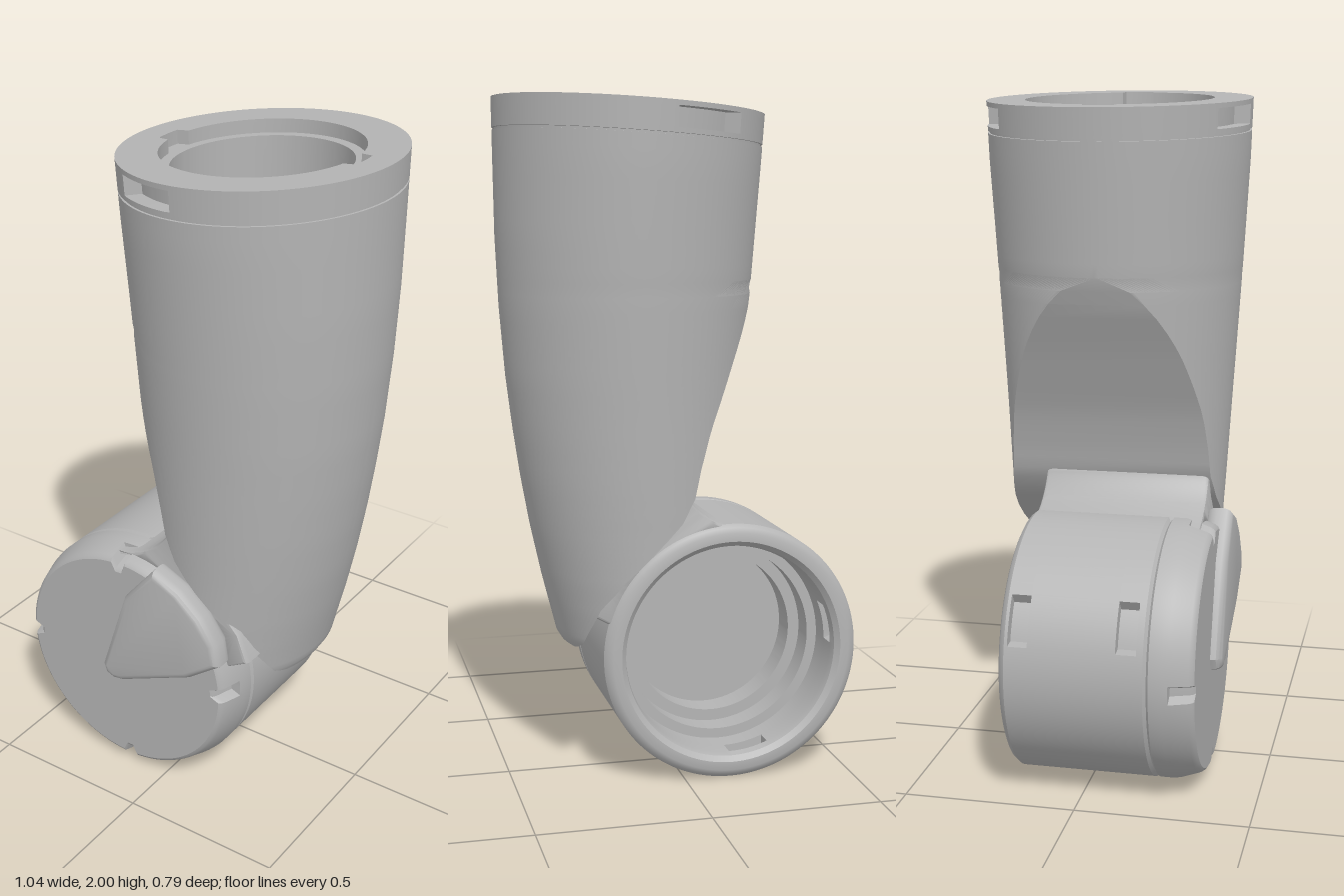
import * as THREE from 'three';
import { toCreasedNormals } from 'three/addons/utils/BufferGeometryUtils.js';

const N = 180;
const grey = new THREE.MeshStandardMaterial({ color: 0xb4b4b4 });
grey.name = 'light grey';

// piecewise-linear lookup in ascending [key, value] pairs
function lookup(table, k) {
  if (k <= table[0][0]) return table[0][1];
  for (let i = 1; i < table.length; i++) {
    const [k0, v0] = table[i - 1], [k1, v1] = table[i];
    if (k <= k1) return v0 + (v1 - v0) * (k - k0) / (k1 - k0);
  }
  return table[table.length - 1][1];
}

// radial offset applied inside angular windows
const dent = (angles, half, depth) => (a) =>
  angles.some((c) => Math.abs(Math.atan2(Math.sin(a - c), Math.cos(a - c))) < half) ? depth : 0;

// skin over rings {y, cx, rx, rz, cut, bump}; each ring is an ellipse trimmed flat at x = cut
function loft(rows, warp, n = N) {
  const pos = [], idx = [];
  rows.forEach(({ y, cx = 0, rx, rz = rx, cut = -9, bump }) => {
    const c = rx > 0 ? Math.min(1, Math.max(-1, (cut - cx) / rx)) : -1;
    const span = Math.acos(c);
    for (let j = 0; j <= n; j++) {
      const a = -span + 2 * span * j / n, b = bump ? bump(a) : 0;
      const x = cx + (rx + b) * Math.cos(a), z = (rz + b) * Math.sin(a);
      pos.push(x, warp ? warp(x, y) : y, z);
    }
  });
  const w = n + 1;
  for (let i = 0; i < rows.length - 1; i++) {
    for (let j = 0; j < w; j++) {
      const k = (j + 1) % w, a = i * w + j, c = i * w + k;
      idx.push(a, a + w, c, c, a + w, c + w);
    }
  }
  const g = new THREE.BufferGeometry();
  g.setAttribute('position', new THREE.Float32BufferAttribute(pos, 3));
  g.setIndex(idx);
  return toCreasedNormals(g, 0.5);
}

// revolved part whose axis runs along z, from [z, radius, bump] rows
function turned(rows) {
  return loft(rows.map(([y, rx, bump]) => ({ y, rx, bump }))).rotateX(Math.PI / 2);
}

function polygon(points) {
  return new THREE.Shape(points.map(([x, y]) => new THREE.Vector2(x, y)));
}

export function createModel() {
  const model = new THREE.Group();
  const add = (name, geometry, x = 0, y = 0, z = 0) => {
    const m = new THREE.Mesh(geometry, grey);
    m.name = name;
    m.position.set(x, y, z);
    model.add(m);
    return m;
  };

  // upper sleeve: side profiles by height
  const right = [[0.41, 0.335], [0.43, 0.347], [0.6, 0.39], [0.75, 0.423], [0.9, 0.45], [1.05, 0.472],
    [1.2, 0.49], [1.4, 0.506], [1.6, 0.515], [2, 0.52]];
  const halfDepth = [[0.41, 0.31], [0.75, 0.325], [1.1, 0.345], [1.5, 0.37], [1.8, 0.388], [2, 0.395]];
  const trim = [[0.41, 0.315], [0.43, 0.303], [0.47, 0.293], [0.55, 0.265], [0.64, 0.2], [0.72, 0.12],
    [0.8, 0.04], [0.87, 0.0], [0.95, -0.018], [1.06, -0.05], [1.25, -0.13], [1.4, -0.2], [1.48, -0.235], [1.56, -0.29]];
  const tilt = (x, y) => y + 0.063 * (x - 0.124) * Math.min(1, Math.max(0, (y - 1.5) / 0.35));
  const outer = (y, inset = 0, bump) => {
    const xr = lookup(right, y) - inset, xl = -0.27 + 0.075 * (1.95 - y) + inset;
    return { y, cx: (xr + xl) / 2, rx: (xr - xl) / 2, rz: lookup(halfDepth, y) - inset, cut: lookup(trim, y), bump };
  };
  const slots = dent([1.91, -1.99], 0.25, -0.045);
  const rows = [{ ...outer(0.41), rx: 0, rz: 0, cx: 0.325 }];
  for (const y of [0.41, 0.417, 0.43, 0.45, 0.47, 0.51, 0.55, 0.6, 0.64, 0.68, 0.72, 0.76, 0.8, 0.835, 0.87, 0.91, 0.95]) rows.push(outer(y));
  for (let y = 1; y < 1.85; y += 0.04) rows.push(outer(y));
  // seam groove, then the collar with its slots
  rows.push(outer(1.882), outer(1.8825, 0.006), outer(1.8885, 0.006), outer(1.889), outer(1.903),
    outer(1.904, 0, slots), outer(1.96, 0, slots), outer(1.961), outer(1.975));
  // stepped mouth with key notches, then the bore
  const keys = dent([0, Math.PI], 0.15, 0.033);
  const bore = (y, r, bump) => ({ y, cx: 0.124, rx: r, cut: lookup(trim, y) + 0.07, bump });
  rows.push(bore(1.975, 0.28, keys), bore(1.935, 0.28, keys), bore(1.935, 0.25));
  for (let y = 1.87; y > 0.96; y -= 0.06) rows.push(bore(y, 0.25));
  rows.push(bore(0.94, 0.25));
  add('sleeve', loft(rows, tilt));

  // bore floor with rectangular well
  const floor = new THREE.Shape();
  const a = Math.acos((0.05 - 0.124) / 0.25);
  floor.absarc(0.124, 0, 0.252, -a, a, false);
  floor.holes.push(new THREE.Path([[0.065, -0.16], [0.065, 0.16], [0.27, 0.16], [0.27, -0.16]]
    .map(([x, y]) => new THREE.Vector2(x, y))));
  add('boreFloor', new THREE.ExtrudeGeometry(floor, { depth: 0.12, bevelEnabled: false, curveSegments: 48 })
    .rotateX(-Math.PI / 2), 0, 0.83, 0);
  add('wellFloor', new THREE.BoxGeometry(0.21, 0.01, 0.33), 0.17, 0.835, 0);
  add('wellStep', new THREE.BoxGeometry(0.065, 0.07, 0.32), 0.238, 0.87, 0);

  // screw bosses
  for (const x of [0.05, 0.215]) {
    for (const z of [-0.2, 0.2]) {
      add('screwBoss', loft([[0.94, 0.03], [1.2, 0.03], [1.2, 0.011], [1.12, 0.011], [1.12, 0]]
        .map(([y, rx]) => ({ y, rx })), null, 24), x, 0, z);
    }
  }

  // joint housing, open at the back, with outer pockets and inner cutouts
  const pockets = dent([-2.71, 1.05], 0.17, -0.03);
  const cutouts = dent([0.2, 1.77, 3.34, 4.91], 0.17, 0.03);
  const cx = -0.14, cy = 0.385;
  add('jointHousing', turned([
    [0.12, 0], [0.12, 0.25], [0.03, 0.25], [0.03, 0.285], [-0.05, 0.285], [-0.05, 0.315], [-0.12, 0.315],
    [-0.121, 0.315, cutouts], [-0.175, 0.315, cutouts], [-0.176, 0.315], [-0.2, 0.32], [-0.215, 0.335],
    [-0.215, 0.36], [-0.208, 0.375], [-0.195, 0.385], [-0.186, 0.385], [-0.185, 0.385, pockets],
    [-0.13, 0.385, pockets], [-0.129, 0.385], [0.122, 0.385], [0.123, 0.385, pockets], [0.18, 0.385, pockets],
    [0.181, 0.385], [0.2, 0.385], [0.21, 0.375], [0.21, 0]]), cx, cy);

  // front cap with rim notches
  const notch = dent([0, 1, 2, 3].map((i) => -0.04 + i * Math.PI / 2), 0.06, -0.03);
  add('cap', turned([[0.208, 0], [0.208, 0.375], [0.216, 0.385], [0.255, 0.385], [0.27, 0.382],
    [0.271, 0.382, notch], [0.325, 0.364, notch], [0.335, 0.358, notch], [0.34, 0.35, notch],
    [0.34, 0.315], [0.34, 0]]), cx, cy);

  // raised wedge on the cap
  const wedge = polygon([[-0.187, 0.37], [-0.18, 0.35], [-0.16, 0.342], [-0.13, 0.347], [0.11, 0.455],
    [0.21, 0.53], [0.2, 0.59], [0.15, 0.66], [0.08, 0.72], [0.0, 0.755], [-0.1, 0.635]]);
  add('capWedge', toCreasedNormals(new THREE.ExtrudeGeometry(wedge, {
    depth: 0.02, bevelThickness: 0.03, bevelSize: 0.022, bevelOffset: -0.005, bevelSegments: 4,
  }), 0.6), 0, 0, 0.325);

  // neck joining housing and sleeve, hugging the housing wall
  const neck = new THREE.Shape();
  neck.moveTo(-0.21, 0.745);
  neck.quadraticCurveTo(-0.05, 0.77, 0.0, 0.87);
  neck.lineTo(0.05, 0.82);
  neck.lineTo(0.16, 0.71);
  neck.lineTo(0.25, 0.61);
  neck.lineTo(0.285, 0.52);
  neck.lineTo(0.215, 0.48);
  neck.absarc(cx, cy, 0.36, 0.27, 1.75, false);
  add('neck', toCreasedNormals(new THREE.ExtrudeGeometry(neck, {
    depth: 0.46, bevelThickness: 0.02, bevelSize: 0.01, bevelOffset: -0.01, bevelSegments: 3, curveSegments: 24,
  }), 0.6), 0, 0, -0.18);

  return model;
}
